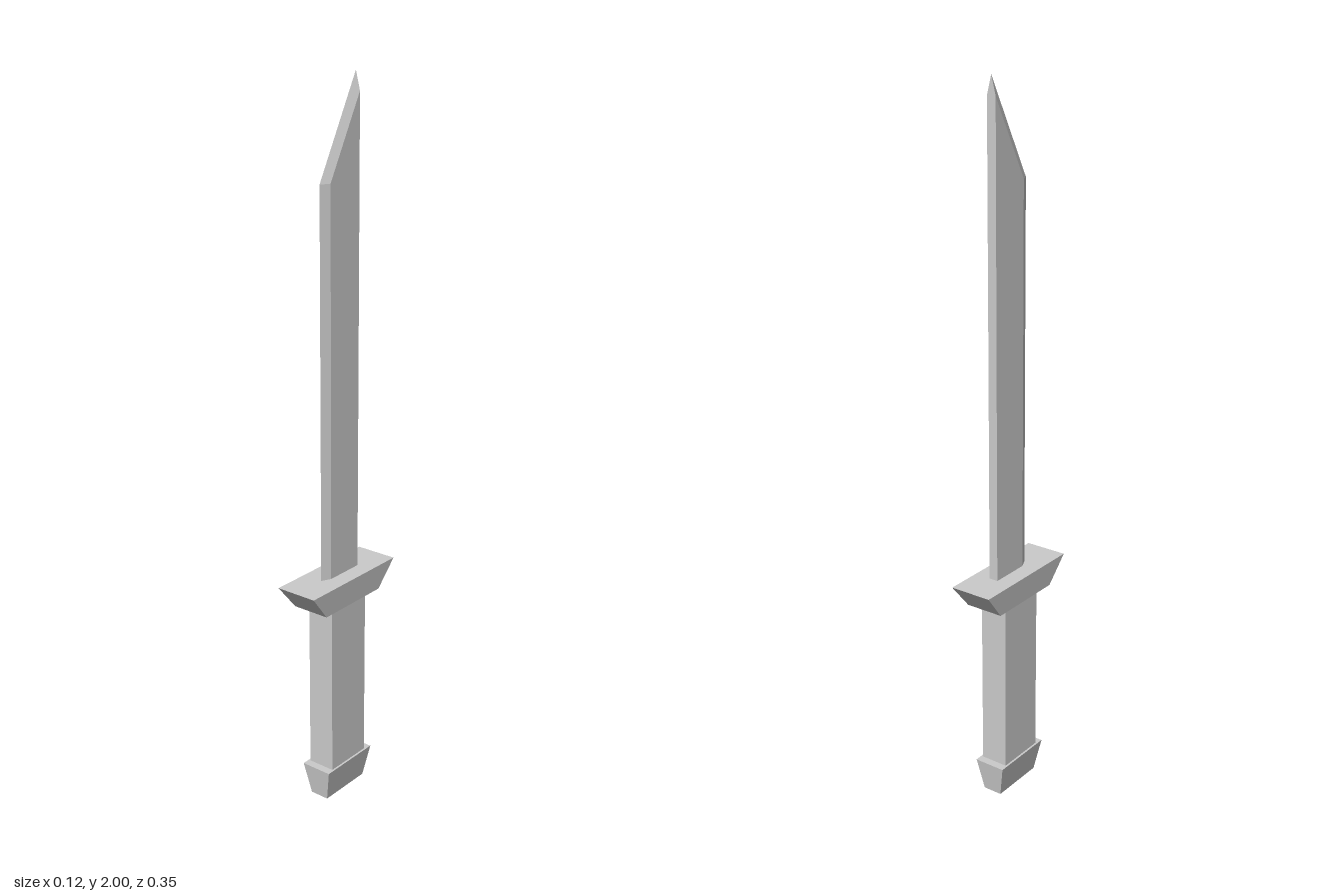
import * as THREE from 'three';
import { ConvexGeometry } from 'three/addons/geometries/ConvexGeometry.js';

const material = new THREE.MeshStandardMaterial({ color: 0xcccccc, flatShading: true });

// Box whose top and bottom rectangles differ; sizes are half extents [x, z].
function taperedBlock(name, y0, y1, bottom, top) {
  const geometry = new THREE.BoxGeometry(2, 2, 2);
  const p = geometry.attributes.position;
  for (let i = 0; i < p.count; i++) {
    const up = p.getY(i) > 0;
    const [hx, hz] = up ? top : bottom;
    p.setXYZ(i, p.getX(i) * hx, up ? y1 : y0, p.getZ(i) * hz);
  }
  geometry.computeVertexNormals();
  const mesh = new THREE.Mesh(geometry, material);
  mesh.name = name;
  return mesh;
}

// Flat-backed blade with a bevelled cutting edge and a bevelled slanted point.
function blade() {
  const base = 0.66, halfWidth = 0.013;
  const edge = 0.07, shoulder = 0.043, back = -0.073;
  const points = [
    new THREE.Vector3(0, base, edge),
    new THREE.Vector3(0, 1.737, edge),
    new THREE.Vector3(0, 2, back),
  ];
  for (const x of [-halfWidth, halfWidth]) {
    points.push(
      new THREE.Vector3(x, base, shoulder),
      new THREE.Vector3(x, base, back),
      new THREE.Vector3(x, 1.737, shoulder),
      new THREE.Vector3(x, 1.95, back),
    );
  }
  const mesh = new THREE.Mesh(new ConvexGeometry(points), material);
  mesh.name = 'blade';
  return mesh;
}

export function createModel() {
  const group = new THREE.Group();
  group.name = 'shortSword';
  group.add(
    taperedBlock('pommel', 0, 0.095, [0.028, 0.082], [0.046, 0.096]),
    taperedBlock('grip', 0.09, 0.6, [0.04, 0.073], [0.04, 0.073]),
    taperedBlock('guard', 0.595, 0.67, [0.055, 0.115], [0.061, 0.176]),
    blade(),
  );
  return group;
}
